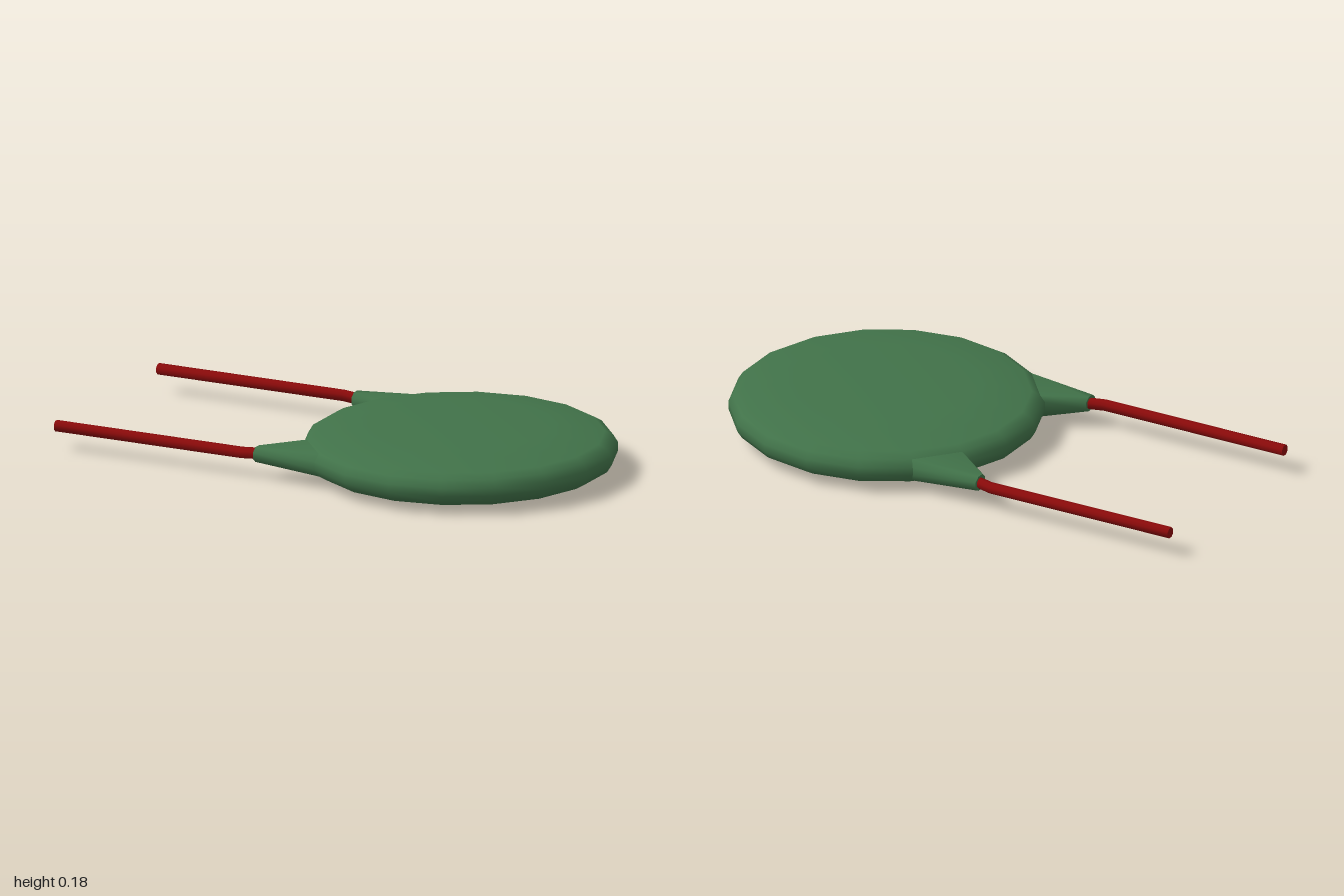
import * as THREE from 'three';

const MID_Y = 0.095, CENTRE_X = 0.435, CENTRE_Z = -0.004;

// Skin consecutive rings of points (running towards -x) and close the last one.
function loft(rings, flip) {
  const pos = [], index = [], n = rings[0].length;
  const tri = (a, b, c) => (flip ? index.push(a, c, b) : index.push(a, b, c));
  rings.forEach(ring => ring.forEach(p => pos.push(...p)));
  for (let r = 0; r < rings.length - 1; r++) {
    for (let i = 0; i < n; i++) {
      const a = r * n + i, b = r * n + (i + 1) % n;
      tri(a, b, b + n);
      tri(a, b + n, a + n);
    }
  }
  // end cap with its own vertices, so its rim stays sharp
  const cap = pos.length / 3;
  rings[rings.length - 1].forEach(p => pos.push(...p));
  for (let i = 1; i < n - 1; i++) tri(cap, cap + i, cap + i + 1);
  const geo = new THREE.BufferGeometry();
  geo.setAttribute('position', new THREE.Float32BufferAttribute(pos, 3));
  geo.setIndex(index);
  geo.computeVertexNormals();
  return geo;
}

// Upright octagonal ring facing along x
function octagon(x, z, rz, ry, side) {
  return Array.from({ length: 8 }, (_, k) => {
    const a = (k + 0.5) * Math.PI / 4;
    return [x, MID_Y + ry * Math.sin(a), side * (z + rz * Math.cos(a))];
  });
}

export function createModel() {
  const model = new THREE.Group();
  const green = new THREE.MeshStandardMaterial({ color: 0x417249 });
  const red = new THREE.MeshStandardMaterial({ color: 0x8a0a0a });
  const add = (name, geo, mat, z) => {
    const mesh = new THREE.Mesh(geo, mat);
    mesh.name = name;
    mesh.position.z = z;
    model.add(mesh);
    return mesh;
  };

  // Disc body: half profile mirrored about the middle height
  const half = [[0.573, 0.015], [0.556, 0.042], [0.525, 0.06], [0.335, 0.09], [0, 0.09]];
  const profile = [...half.map(([r, y]) => [r, -y]).reverse(), ...half]
    .map(([r, y]) => new THREE.Vector2(r, y));
  add('discBody', new THREE.LatheGeometry(profile, 18), green, CENTRE_Z)
    .position.set(CENTRE_X, MID_Y, CENTRE_Z);

  for (const side of [1, -1]) {
    const label = side > 0 ? 'front' : 'back';

    // Tapered neck: grows out of one facet of the disc rim
    const rim = (deg, r, y) => {
      const a = THREE.MathUtils.degToRad(deg);
      return [CENTRE_X + r * Math.cos(a), MID_Y + y, side * r * Math.sin(a)];
    };
    const base = [
      rim(130, 0.573, 0.015), rim(130, 0.556, 0.042), rim(150, 0.556, 0.042), rim(150, 0.573, 0.015),
      rim(150, 0.573, -0.015), rim(150, 0.556, -0.042), rim(130, 0.556, -0.042), rim(130, 0.573, -0.015),
    ];
    const tip = octagon(-0.19, 0.393, 0.036, 0.03, side);
    add(label + 'Neck', loft([base, tip], side < 0), green, CENTRE_Z);

    // Wire lead: short kink at the neck, then straight
    const wire = [[-0.15, 0.382], [-0.245, 0.408], [-1, 0.408]]
      .map(([x, z]) => octagon(x, z, 0.021, 0.021, side));
    add(label + 'Wire', loft(wire, side < 0), red, CENTRE_Z * 2);
  }
  return model;
}
